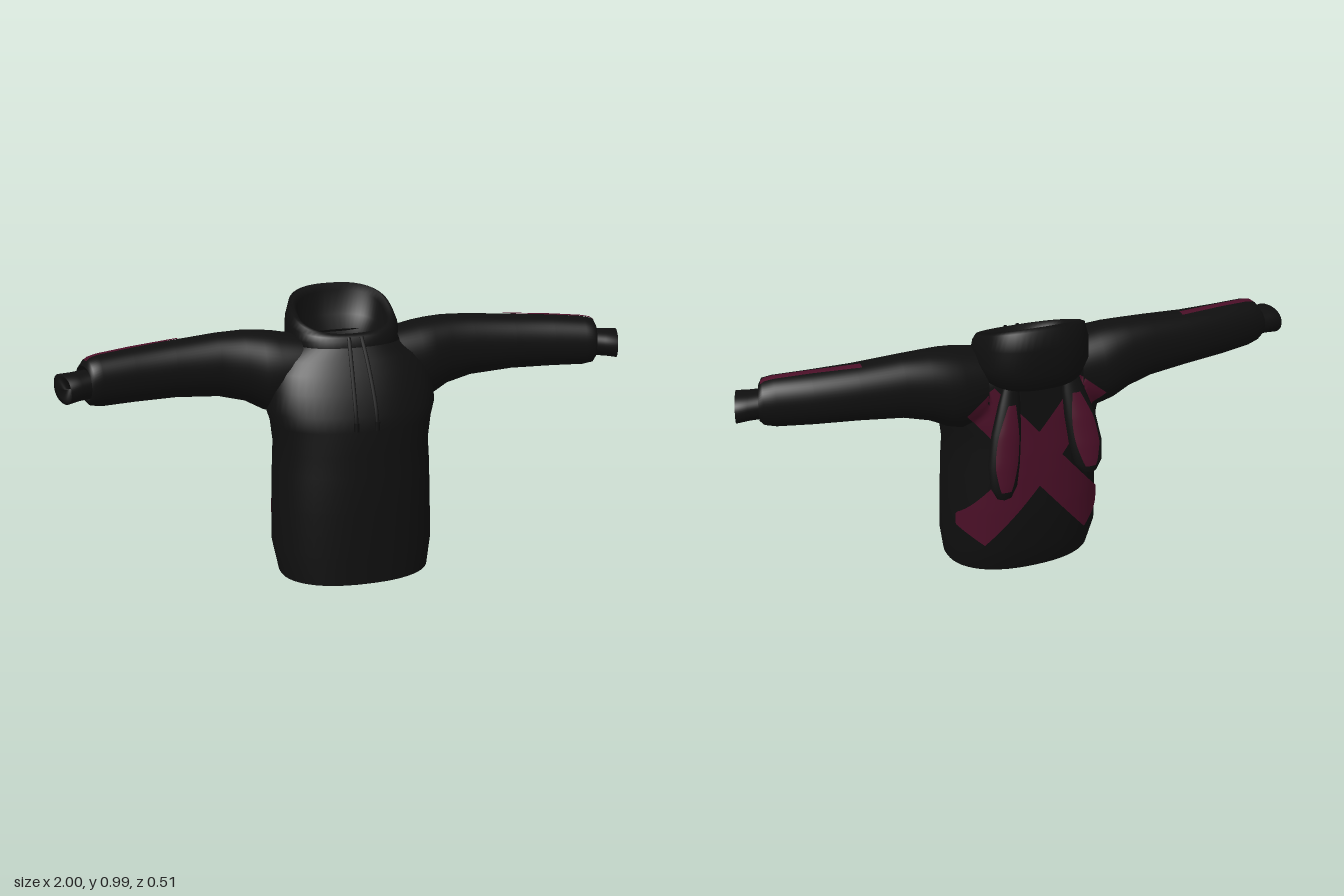
import * as THREE from 'three';

const fabric = new THREE.MeshStandardMaterial({ color: 0x0f0f0f, side: THREE.DoubleSide });
fabric.name = 'black fabric';
const print = new THREE.MeshStandardMaterial({ color: 0x4a0f27, side: THREE.DoubleSide });
print.name = 'dark crimson print';

// Rounded-box curve: sine or cosine value raised for squareness n
const sq = (v, n) => Math.sign(v) * Math.pow(Math.abs(v), 2 / n);
const lerp = THREE.MathUtils.lerp;

// Reads a table of rows sorted by their first number, blending between rows
function sample(rows, k) {
  let i = 0;
  while (i < rows.length - 2 && k > rows[i + 1][0]) i++;
  const t = THREE.MathUtils.clamp((k - rows[i][0]) / (rows[i + 1][0] - rows[i][0]), 0, 1);
  return rows[i].map((v, j) => lerp(v, rows[i + 1][j], t));
}

// Grid surface from f(i, j); closed joins the last column to the first
function surface(f, rows, cols, closed) {
  const pos = [], index = [], w = closed ? cols : cols + 1;
  for (let i = 0; i <= rows; i++) for (let j = 0; j < w; j++) pos.push(...f(i, j));
  for (let i = 0; i < rows; i++) for (let j = 0; j < cols; j++) {
    const k = (j + 1) % w, a = i * w + j, b = i * w + k, c = b + w, d = a + w;
    index.push(a, b, c, a, c, d);
  }
  const geo = new THREE.BufferGeometry();
  geo.setAttribute('position', new THREE.Float32BufferAttribute(pos, 3));
  geo.setIndex(index);
  geo.computeVertexNormals();
  return geo;
}

const SEG = 56;
const loft = (rows, point) =>
  surface((i, j) => point(rows[i], (j / SEG) * Math.PI * 2), rows.length - 1, SEG, true);

// Mirrors a geometry to the other side and keeps its faces outward
function mirror(geo) {
  const g = geo.clone().scale(-1, 1, 1), ix = g.index.array;
  for (let i = 0; i < ix.length; i += 3) [ix[i], ix[i + 1]] = [ix[i + 1], ix[i]];
  g.computeVertexNormals();
  return g;
}

// Torso: height, half width, front z, back z
const torsoRows = [
  [0.04, 0.262, 0.25, -0.125], [0.14, 0.28, 0.248, -0.16], [0.3, 0.277, 0.245, -0.165],
  [0.42, 0.274, 0.238, -0.164], [0.5, 0.27, 0.23, -0.162], [0.58, 0.28, 0.226, -0.158],
  [0.63, 0.295, 0.215, -0.156], [0.7, 0.29, 0.188, -0.153], [0.76, 0.275, 0.158, -0.152],
  [0.8, 0.25, 0.132, -0.15], [0.84, 0.19, 0.105, -0.14],
];
const TN = 2.3;
const torsoPoint = ([y, hw, zf, zb], t) =>
  [hw * sq(Math.sin(t), TN), y, (zf + zb) / 2 + (zf - zb) / 2 * sq(Math.cos(t), TN)];

// Sleeve: x, bottom y, top y, back z, front z, slant
const sleeveRows = [
  [0.17, 0.62, 0.865, -0.14, 0.09, 0], [0.25, 0.6, 0.88, -0.152, 0.09, 0],
  [0.3, 0.615, 0.886, -0.15, 0.08, 0], [0.36, 0.648, 0.889, -0.142, 0.062, 0],
  [0.45, 0.672, 0.887, -0.127, 0.052, 0], [0.6, 0.685, 0.876, -0.11, 0.057, 0],
  [0.75, 0.688, 0.868, -0.083, 0.072, 0.01], [0.87, 0.69, 0.86, -0.052, 0.09, 0.02],
  [0.91, 0.698, 0.852, -0.04, 0.094, 0.03], [0.925, 0.715, 0.83, -0.033, 0.088, 0.035],
];
const cuffRows = [
  [0.915, 0.722, 0.815, -0.028, 0.082, 0.035], [0.96, 0.72, 0.812, -0.024, 0.095, 0.04],
  [1.0, 0.714, 0.812, -0.02, 0.11, 0.04], [0.995, 0.725, 0.8, -0.01, 0.1, 0.04],
  [0.98, 0.762, 0.763, 0.044, 0.045, 0.04],
];
function sleevePoint([x, y0, y1, z0, z1, slant], t) {
  const s = sq(Math.sin(t), 2.2);
  return [x - slant * (s + 1) / 2, (y0 + y1) / 2 + (y1 - y0) / 2 * sq(Math.cos(t), 2.2),
    (z0 + z1) / 2 + (z1 - z0) / 2 * s];
}

// Rearmost z of torso and sleeve at a given x and y
function backZ(x, y) {
  const [, hw, zf, zb] = sample(torsoRows, y), ax = Math.abs(x);
  const drop = (r, n) => Math.pow(Math.max(0, 1 - Math.pow(Math.min(1, Math.abs(r)), n)), 1 / n);
  let z = (zf + zb) / 2 - (zf - zb) / 2 * drop(ax / hw, TN);
  if (ax > 0.17) {
    const [, y0, y1, z0, z1] = sample(sleeveRows, ax);
    const r = (2 * y - y0 - y1) / (y1 - y0);
    if (Math.abs(r) < 1) z = Math.min(z, (z0 + z1) / 2 - (z1 - z0) / 2 * drop(r, 2.2));
  }
  return z;
}

// Hood: front z, front y, back z, back y, half width; outside up, then inside down
const hoodRows = [
  [0.1, 0.8, -0.14, 0.74, 0.15], [0.104, 0.835, -0.215, 0.765, 0.182],
  [0.096, 0.86, -0.243, 0.83, 0.194], [0.088, 0.872, -0.245, 0.92, 0.19],
  [0.08, 0.878, -0.232, 0.985, 0.178], [0.066, 0.88, -0.212, 0.99, 0.165],
  [0.055, 0.868, -0.198, 0.965, 0.152], [0.05, 0.84, -0.19, 0.88, 0.14],
  [0.03, 0.815, -0.13, 0.82, 0.1], [-0.05, 0.8, -0.051, 0.8, 0.001],
];
function hoodPoint([zf, yf, zb, yb, hw], t) {
  const k = (1 - sq(Math.cos(t), 2.5)) / 2;
  return [hw * sq(Math.sin(t), 2.5), lerp(yf, yb, k), lerp(zf, zb, k)];
}

// Ear: height, x, z, half width, half depth; from tip to root
const earRows = [
  [0.382, 0.152, -0.224, 0.001, 0.001], [0.392, 0.152, -0.223, 0.026, 0.014],
  [0.43, 0.151, -0.217, 0.047, 0.024], [0.51, 0.146, -0.206, 0.056, 0.03],
  [0.62, 0.132, -0.192, 0.052, 0.029], [0.72, 0.115, -0.177, 0.038, 0.023],
  [0.79, 0.105, -0.17, 0.025, 0.015],
];
const earPoint = ([y, x, z, w, d], t) => [x + w * Math.sin(t), y, z + d * Math.cos(t)];

export function createModel() {
  const model = new THREE.Group();
  const add = (name, geo, mat = fabric) => {
    const mesh = new THREE.Mesh(geo, mat);
    mesh.name = name;
    model.add(mesh);
  };
  const addPair = (name, geo, mat) => {
    add('left' + name, geo, mat);
    add('right' + name, mirror(geo), mat);
  };

  add('torso', loft(torsoRows, torsoPoint));
  // Shallow lining that closes the hem
  add('hemLining', surface((i, j) => {
    const p = torsoPoint(torsoRows[0], (j / SEG) * Math.PI * 2);
    return [p[0] * i, lerp(0, p[1], i), lerp(0.04, p[2], i)];
  }, 1, SEG, true));
  add('hood', loft(hoodRows, hoodPoint));
  addPair('Sleeve', loft(sleeveRows, sleevePoint));
  addPair('Cuff', loft(cuffRows, sleevePoint));

  // Stripe along the top of each sleeve
  addPair('SleeveStripe', surface((i, j) => {
    const x = lerp(0.58, 0.915, i / 24);
    const [, y0, y1, z0, z1, slant] = sample(sleeveRows, x);
    const z = lerp(-0.045, 0.02, i / 24) + (j / 4 - 0.5) * 0.024;
    const r = (2 * z - z0 - z1) / (z1 - z0);
    const h = Math.pow(1 - Math.pow(Math.abs(r), 2.2), 1 / 2.2);
    return [x - slant * (r + 1) / 2, (y0 + y1) / 2 + (y1 - y0) / 2 * h + 0.004, z];
  }, 24, 4, false), print);

  // Large crossed bands on the back
  addPair('BackBand', surface((i, j) => {
    const u = i / 48, v = (j / 16 - 0.5) * 0.13;
    const x = THREE.MathUtils.clamp(lerp(0.235, -0.2, u) + v * 0.77, -0.262, 0.262);
    const y = lerp(0.2, 0.72, u) + v * 0.64;
    return [x * 1.015, y, backZ(x, y) - 0.005];
  }, 48, 16, false), print);

  // Hanging ears, the right one a little shorter and kicked further back
  for (const [side, k, kick] of [['left', 1, 0], ['right', 0.87, 0.014]]) {
    const rows = earRows.map(([y, x, z, w, d]) =>
      [0.79 - (0.79 - y) * k, x, z - kick * (0.79 - y) / 0.4, w * (1 + kick * 4), d]);
    const ear = loft(rows, earPoint);
    const inner = surface((i, j) => {
      const row = sample(rows, 0.79 - k * lerp(0.37, 0.07, i / 16));
      const spread = 0.2 + 0.65 * Math.sin(Math.PI * lerp(0.12, 0.92, i / 16));
      const p = earPoint(row, Math.PI + (j / 8 - 0.5) * 2 * spread);
      return [p[0], p[1], p[2] - 0.004];
    }, 16, 8, false);
    add(side + 'Ear', side === 'left' ? ear : mirror(ear));
    add(side + 'EarLining', side === 'left' ? inner : mirror(inner), print);
  }

  // Drawstrings hanging over the chest
  const path = new THREE.CatmullRomCurve3([
    [0.022, 0.872, 0.09], [0.028, 0.8, 0.138], [0.034, 0.7, 0.193],
    [0.036, 0.64, 0.219], [0.036, 0.59, 0.231],
  ].map((p) => new THREE.Vector3(...p)));
  addPair('Drawstring', new THREE.TubeGeometry(path, 24, 0.007, 8));
  const tip = new THREE.CylinderGeometry(0.009, 0.009, 0.03, 10).translate(0.036, 0.6, 0.229);
  addPair('DrawstringTip', tip);

  return model;
}
